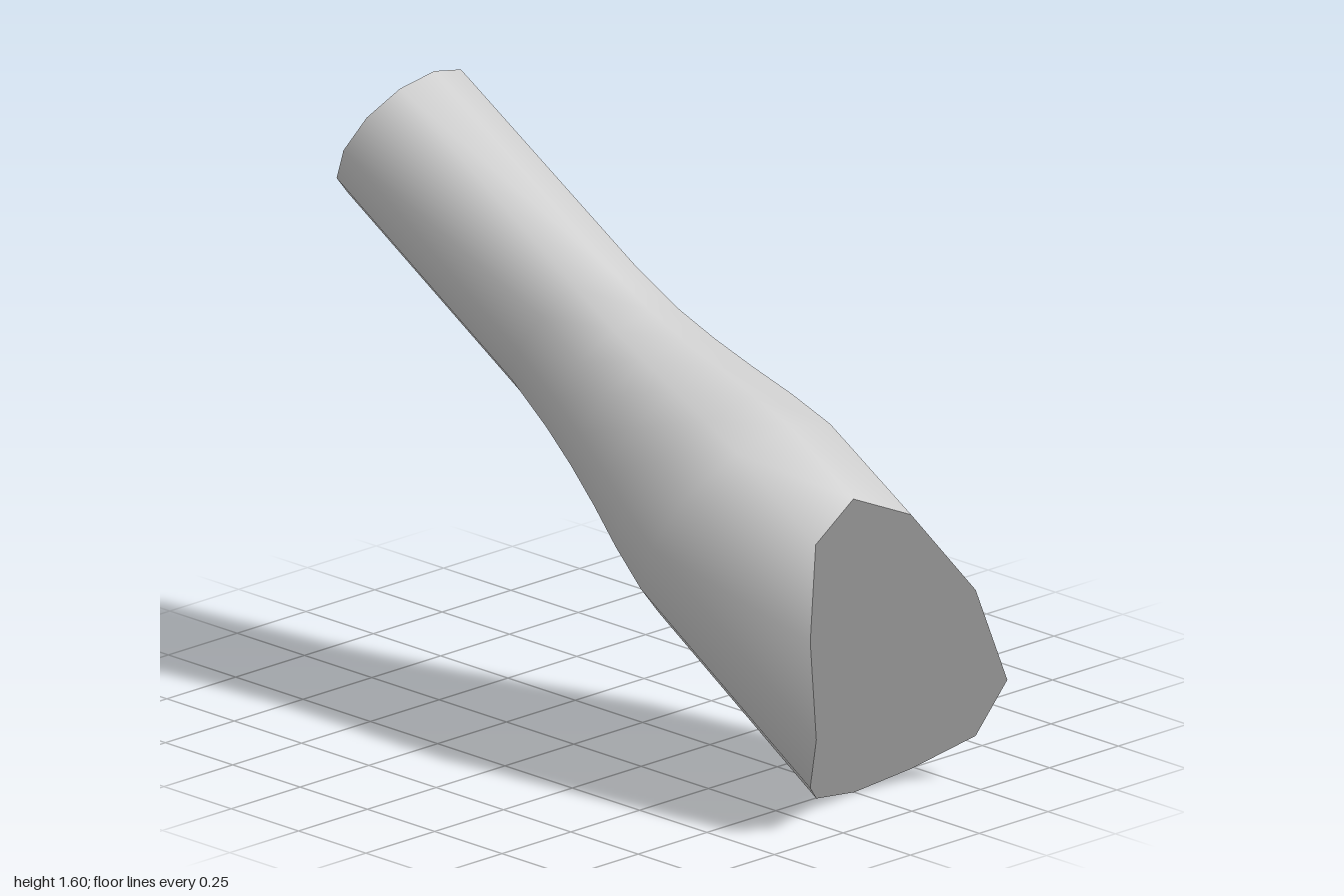
import * as THREE from 'three';

const SIDES = 12;
const TILT_SIN = 0.5, TILT_COS = 0.866;

// Sleeve space (x, height h, distance s along the arm) to model space
const place = (x, h, s) => [x, TILT_SIN * s + TILT_COS * h, -TILT_COS * s + TILT_SIN * h];

// Cuff edge: distance along the arm for each corner, from top round to bottom
const CUFF = [-0.275, -0.345, -0.545, -0.726, -0.745, -0.695, -0.68];

// Cross-sections behind the cuff: [s, centre height, radius]
const SECTIONS = [
  [0, 0.756, 0.338],
  [0.14, 0.758, 0.314],
  [0.275, 0.76, 0.284],
  [0.41, 0.761, 0.258],
  [0.54, 0.762, 0.239],
  [0.71, 0.767, 0.226],
  [1.47, 0.778, 0.222],
];

function ring(centre, radius, along) {
  return Array.from({ length: SIDES }, (_, j) => {
    const a = (j / SIDES) * Math.PI * 2;
    return place(radius * Math.sin(a), centre + radius * Math.cos(a), along(j));
  });
}

function geometryFrom(points, index) {
  const g = new THREE.BufferGeometry();
  g.setAttribute('position', new THREE.Float32BufferAttribute(points.flat(), 3));
  g.setIndex(index);
  g.computeVertexNormals();
  return g;
}

export function createModel() {
  const group = new THREE.Group();
  group.name = 'sleeve';
  const cloth = new THREE.MeshStandardMaterial({ color: 0xcccccc, side: THREE.DoubleSide });
  cloth.name = 'light grey cloth';

  // Tube, open at the back
  const cuff = ring(0.742, 0.347, (j) => CUFF[Math.min(j, SIDES - j)]);
  const rings = [cuff, ...SECTIONS.map(([s, c, r]) => ring(c, r, () => s))];
  const index = [];
  for (let i = 0; i < rings.length - 1; i++) {
    for (let j = 0; j < SIDES; j++) {
      const k = (j + 1) % SIDES;
      const a = i * SIDES + j, b = i * SIDES + k;
      index.push(a, b, a + SIDES, b, b + SIDES, a + SIDES);
    }
  }
  const tube = new THREE.Mesh(geometryFrom(rings.flat(), index), cloth);
  tube.name = 'sleeveTube';

  // Slightly folded cap closing the cuff, shaded as one plane
  const centre = [0, 1, 2].map((n) => cuff.reduce((sum, p) => sum + p[n], 0) / SIDES);
  const fan = [];
  for (let j = 0; j < SIDES; j++) fan.push(SIDES, (j + 1) % SIDES, j);
  const capGeometry = geometryFrom([...cuff, centre], fan);
  const normals = capGeometry.attributes.normal;
  for (let i = 0; i < normals.count; i++) normals.setXYZ(i, 0, -TILT_SIN, TILT_COS);
  const cap = new THREE.Mesh(capGeometry, cloth);
  cap.name = 'cuffCap';

  group.add(tube, cap);
  return group;
}
